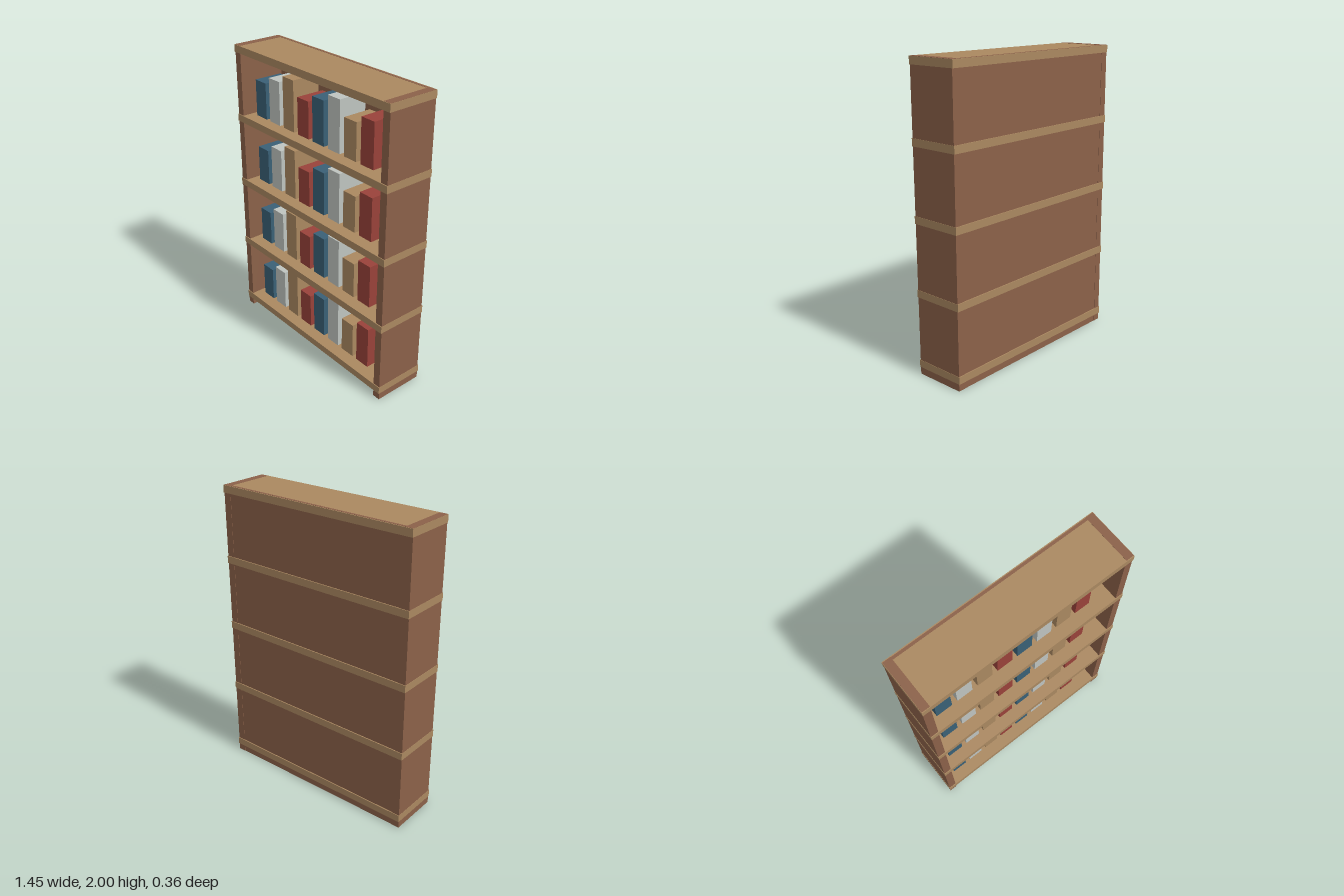
import * as THREE from 'three';

const mat = (color) => new THREE.MeshStandardMaterial({ color });

export function createModel() {
  const model = new THREE.Group();
  model.name = 'bookcase';
  const wood = mat(0x8b6149);
  const shelfWood = mat(0xaa8860);
  const covers = [mat(0x3a6076), mat(0xbfc4c0), shelfWood, mat(0x99423a)];

  // Box resting on height y
  const box = (name, w, h, d, x, y, z, material, parent = model) => {
    const mesh = new THREE.Mesh(new THREE.BoxGeometry(w, h, d), material);
    mesh.name = name;
    mesh.position.set(x, y + h / 2, z);
    parent.add(mesh);
    return mesh;
  };

  // Side panels and back panel
  box('leftSide', 0.053, 2, 0.346, 0.6945, 0, 0, wood);
  box('rightSide', 0.053, 2, 0.346, -0.6945, 0, 0, wood);
  box('backPanel', 1.4, 2, 0.018, 0, 0, -0.162, wood);

  // Five boards, slightly proud of the carcass; books stand on the lower four
  const bookHeights = [0.248, 0.296, 0.344];
  for (let i = 0; i < 5; i++) {
    const y = 0.048 + i * 0.4755;
    box(i === 4 ? 'topBoard' : 'shelf', 1.446, 0.049, 0.356, 0, y, 0, shelfWood);
    if (i === 4) continue;

    const row = new THREE.Group();
    row.name = 'bookRow';
    for (let b = 0; b < 8; b++) {
      box('book', 0.109, bookHeights[b % 3], 0.2, -0.565 + b * 0.1475, y + 0.049, -0.005, covers[b % 4], row);
    }
    model.add(row);
  }
  return model;
}
